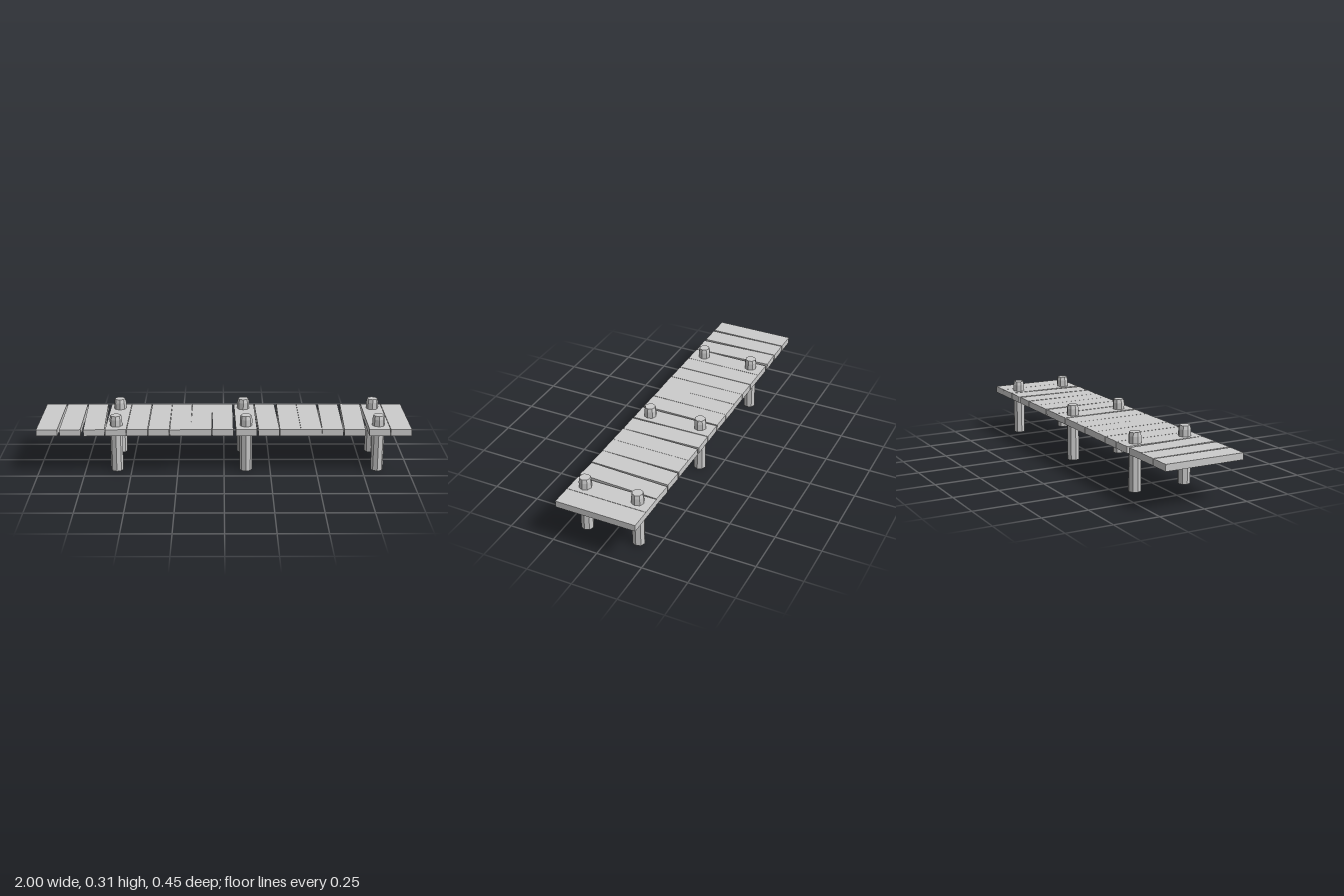
import * as THREE from 'three';

const material = new THREE.MeshStandardMaterial({ color: 0xcccccc, flatShading: true });

// Plank rows: [centre x, turn about the vertical, shift in z]
const PLANKS = [
  [-0.944, 0, 0], [-0.823, 0.012, 0], [-0.701, 0.038, 0], [-0.577, 0, 0],
  [-0.463, 0, 0], [-0.348, 0, 0], [-0.234, 0.004, 0.001], [-0.121, -0.004, -0.001],
  [-0.007, 0, 0], [0.116, 0.016, 0], [0.234, 0.026, 0], [0.353, 0, 0],
  [0.466, 0, 0], [0.583, -0.02, 0], [0.705, -0.038, 0], [0.83, 0, 0], [0.944, 0, 0],
];

// Posts: [x, z]
const POSTS = [
  [-0.58, 0.147], [-0.58, -0.147], [0.118, 0.147],
  [0.108, -0.147], [0.83, 0.147], [0.83, -0.147],
];

function createPlanks() {
  const deck = new THREE.Group();
  deck.name = 'deck';
  const geometry = new THREE.BoxGeometry(0.112, 0.036, 0.442);
  PLANKS.forEach(([x, turn, z], i) => {
    const plank = new THREE.Mesh(geometry, material);
    plank.name = `plank${i + 1}`;
    plank.position.set(x, 0.235, z);
    plank.rotation.y = turn;
    deck.add(plank);
  });
  return deck;
}

function createPosts() {
  const posts = new THREE.Group();
  posts.name = 'posts';
  // Eight-sided shaft with a chamfered, closed top
  const profile = [[0, 0], [0.0335, 0], [0.0335, 0.29], [0.029, 0.31], [0, 0.31]]
    .map(([r, y]) => new THREE.Vector2(r, y));
  const geometry = new THREE.LatheGeometry(profile, 8);
  POSTS.forEach(([x, z], i) => {
    const post = new THREE.Mesh(geometry, material);
    post.name = `post${i + 1}`;
    post.position.set(x, 0, z);
    posts.add(post);
  });
  return posts;
}

export function createModel() {
  const pier = new THREE.Group();
  pier.name = 'pier';
  pier.add(createPlanks(), createPosts());
  return pier;
}
